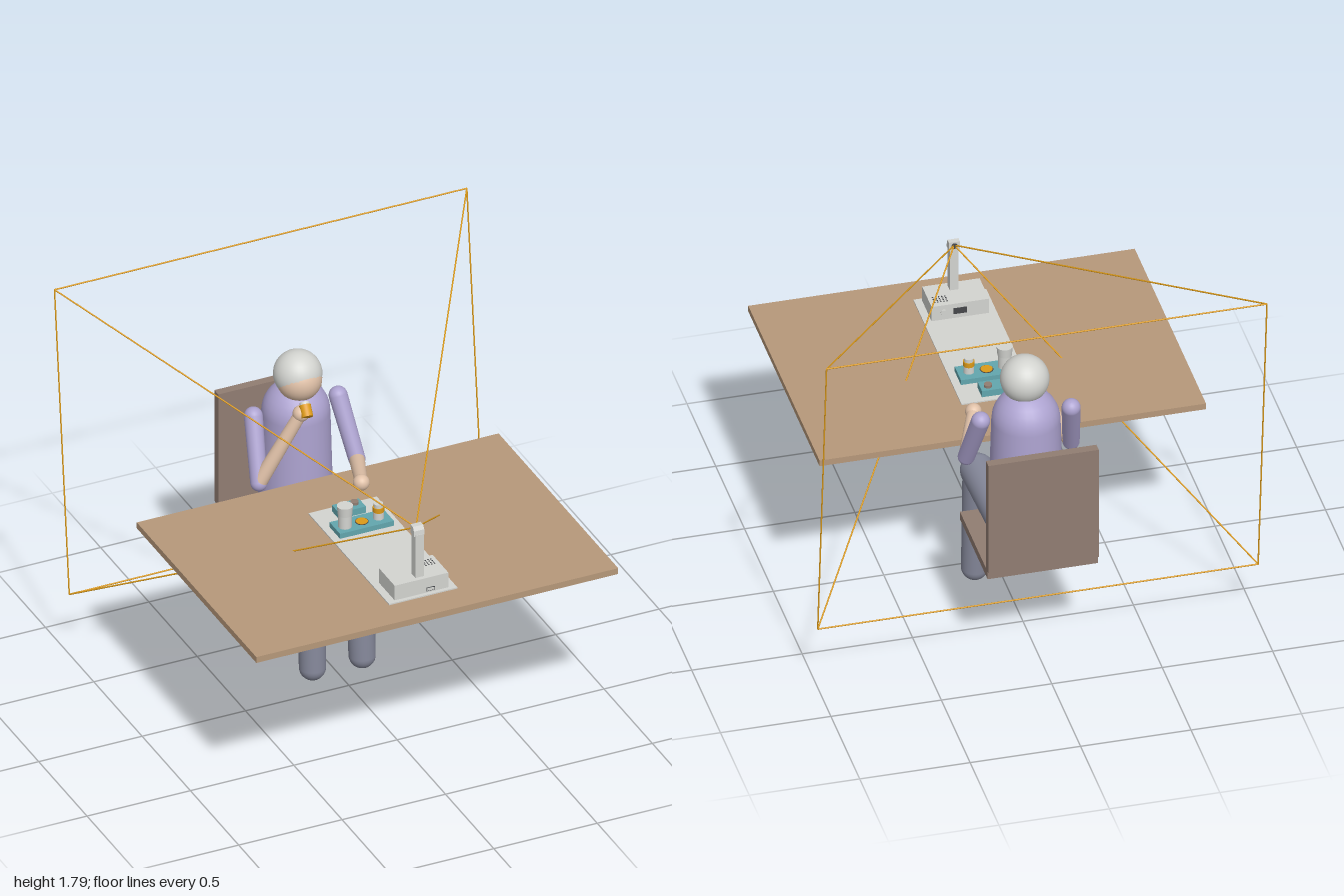
import * as THREE from 'three';

const mat = (name, color) => {
  const m = new THREE.MeshStandardMaterial({ color });
  m.name = name;
  return m;
};

export function createModel() {
  const wood = mat('table wood', 0xb6987a);
  const chairMat = mat('chair brown', 0x917d72);
  const shirt = mat('lilac shirt', 0xada3d0);
  const trousers = mat('slate trousers', 0x85889a);
  const skin = mat('skin', 0xe0c1a8);
  const grey = mat('light grey', 0xd3d4d0);
  const teal = mat('teal', 0x62a6ae);
  const amber = mat('amber', 0xdc9a18);
  const dark = mat('dark grey', 0x45474a);

  const model = new THREE.Group();
  model.name = 'tableScene';
  const V = (x, y, z) => new THREE.Vector3(x, y, z);
  const UP = V(0, 1, 0);

  function add(name, geometry, material, x = 0, y = 0, z = 0, parent = model) {
    const mesh = new THREE.Mesh(geometry, material);
    mesh.name = name;
    mesh.position.set(x, y, z);
    parent.add(mesh);
    return mesh;
  }

  // box given by its limits
  const box = (name, m, x0, x1, y0, y1, z0, z1, parent) =>
    add(name, new THREE.BoxGeometry(x1 - x0, y1 - y0, z1 - z0), m,
      (x0 + x1) / 2, (y0 + y1) / 2, (z0 + z1) / 2, parent);

  // upright cylinder standing between two heights
  const can = (name, m, x, z, r, y0, y1, parent, rBottom = r) =>
    add(name, new THREE.CylinderGeometry(r, rBottom, y1 - y0, 28), m, x, (y0 + y1) / 2, z, parent);

  // round-ended limb from a to b with its own radius at each end
  function limb(name, m, a, b, ra, rb, parent) {
    const len = a.distanceTo(b), pts = [], n = 8;
    for (let i = 0; i <= n; i++) {
      const t = (i / n) * Math.PI / 2;
      pts.push(new THREE.Vector2(ra * Math.sin(t), -ra * Math.cos(t)));
    }
    for (let i = 0; i <= n; i++) {
      const t = (i / n) * Math.PI / 2;
      pts.push(new THREE.Vector2(i === n ? 0 : rb * Math.cos(t), len + rb * Math.sin(t)));
    }
    const mesh = add(name, new THREE.LatheGeometry(pts, 28), m, a.x, a.y, a.z, parent);
    mesh.quaternion.setFromUnitVectors(UP, b.clone().sub(a).normalize());
    return mesh;
  }

  function rod(name, a, b, r, parent) {
    const mid = a.clone().add(b).multiplyScalar(0.5);
    const mesh = add(name, new THREE.CylinderGeometry(r, r, a.distanceTo(b), 8), amber, mid.x, mid.y, mid.z, parent);
    mesh.quaternion.setFromUnitVectors(UP, b.clone().sub(a).normalize());
  }

  const group = (name) => {
    const g = new THREE.Group();
    g.name = name;
    model.add(g);
    return g;
  };

  // furniture
  box('tableTop', wood, -0.875, 0.875, 0.862, 0.892, -0.323, 0.915);
  const chair = group('chair');
  box('seat', chairMat, -0.25, 0.25, 0.5, 0.54, -0.845, -0.365, chair);
  box('backrest', chairMat, -0.25, 0.25, 0.54, 1.11, -0.858, -0.817, chair);

  // seated person
  const person = group('person');
  limb('torso', shirt, V(0, 0.612, -0.553), V(0, 1.115, -0.55), 0.167, 0.152, person);
  add('hair', new THREE.SphereGeometry(0.109, 32, 20), grey, 0, 1.316, -0.53, person);
  add('face', new THREE.SphereGeometry(0.102, 32, 20), skin, 0, 1.298, -0.516, person);
  for (const s of [-1, 1]) {
    const side = s > 0 ? 'left' : 'right';
    const hip = V(s * 0.105, 0.587, -0.58), knee = V(s * 0.115, 0.595, -0.15);
    limb(side + 'Thigh', trousers, hip, knee, 0.07, 0.077, person);
    limb(side + 'Shin', trousers, knee, V(s * 0.12, 0.064, -0.12), 0.066, 0.06, person);

    const elbow = V(s * 0.237, 0.872, -0.425);
    limb(side + 'UpperArm', shirt, V(s * 0.205, 1.138, -0.55), elbow, 0.042, 0.038, person);
    const hand = s > 0 ? V(0.137, 0.922, -0.165) : V(-0.06, 1.215, -0.368);
    limb(side + 'Forearm', skin, elbow, hand, 0.035, 0.028, person);
    add(side + 'Hand', new THREE.SphereGeometry(0.037, 24, 16), skin, hand.x, hand.y, hand.z, person);
  }

  // small bottle tipped towards the mouth
  const bottle = group('heldBottle');
  can('heldBottleBody', amber, 0, 0, 0.026, -0.03, 0.025, bottle);
  can('heldBottleCap', grey, 0, 0, 0.022, 0.025, 0.038, bottle);
  bottle.position.set(-0.045, 1.237, -0.347);
  bottle.quaternion.setFromUnitVectors(UP, V(0.1, 0.72, -0.7).normalize());

  // mat and teal trays
  box('mat', grey, -0.165, 0.165, 0.892, 0.898, -0.065, 0.77);
  const trays = group('trays');
  box('smallTray', teal, -0.065, 0.065, 0.898, 0.93, -0.037, 0.037, trays);
  can('smallTrayKnob', chairMat, 0.03, -0.006, 0.018, 0.93, 0.943, trays);
  box('longTray', teal, -0.13, 0.13, 0.898, 0.923, 0.078, 0.187, trays);
  can('emptySlotRing', dark, 0, 0.133, 0.03, 0.923, 0.925, trays);
  can('emptySlot', amber, 0, 0.133, 0.027, 0.925, 0.927, trays);
  can('tallCup', grey, -0.083, 0.137, 0.03, 0.923, 0.985, trays);
  can('tallCupRim', grey, -0.083, 0.137, 0.036, 0.985, 1.03, trays, 0.032);
  can('bottleBody', grey, 0.08, 0.135, 0.024, 0.923, 0.958, trays);
  can('bottleBand', amber, 0.08, 0.135, 0.0255, 0.958, 0.981, trays);
  can('bottleCap', grey, 0.08, 0.135, 0.021, 0.981, 0.998, trays);

  // camera station: base, post and head looking back at the person
  const station = group('cameraStation');
  box('base', grey, -0.13, 0.13, 0.898, 0.973, 0.588, 0.752, station);
  box('socketFrame', dark, 0.023, 0.063, 0.905, 0.923, 0.752, 0.754, station);
  box('socket', grey, 0.026, 0.06, 0.908, 0.92, 0.754, 0.756, station);
  box('rearPanel', dark, -0.03, 0.03, 0.92, 0.95, 0.585, 0.588, station);
  const button = can('rearButton', grey, 0.075, 0.588, 0.014, 0, 0.014, station);
  button.rotation.x = Math.PI / 2;
  button.position.y = 0.937;
  for (let i = 0; i < 5; i++) {
    for (let j = 0; j < 4; j++) {
      can('speakerHole', dark, 0.052 + i * 0.014, 0.618 + j * 0.013, 0.0035, 0.973, 0.9745, station);
    }
  }
  box('post', grey, -0.02, 0.02, 0.973, 1.19, 0.693, 0.732, station);
  // head with sloped top, drawn from the side
  const profile = new THREE.Shape();
  [[0.69, 1.185], [0.73, 1.185], [0.727, 1.21], [0.716, 1.228], [0.69, 1.228]].forEach(([z, y], i) =>
    i ? profile.lineTo(-z, y) : profile.moveTo(-z, y));
  const head = add('cameraHead', new THREE.ExtrudeGeometry(profile, { depth: 0.05, bevelEnabled: false }), grey, -0.025, 0, 0, station);
  head.rotation.y = Math.PI / 2;
  const lens = can('lens', dark, 0, 0.688, 0.013, -0.003, 0.003, station);
  lens.rotation.x = Math.PI / 2;
  lens.position.y = 1.209;

  // field of view drawn as a wire pyramid
  const view = group('fieldOfView');
  const apex = V(0, 1.209, 0.695);
  const corners = [V(-0.997, 1.792, -0.913), V(0.997, 1.792, -0.913), V(0.997, 0.308, -0.76), V(-0.997, 0.308, -0.76)];
  corners.forEach((c, i) => {
    rod('viewRay', apex, c, 0.0035, view);
    rod('viewEdge', c, corners[(i + 1) % 4], 0.0035, view);
  });

  return model;
}
